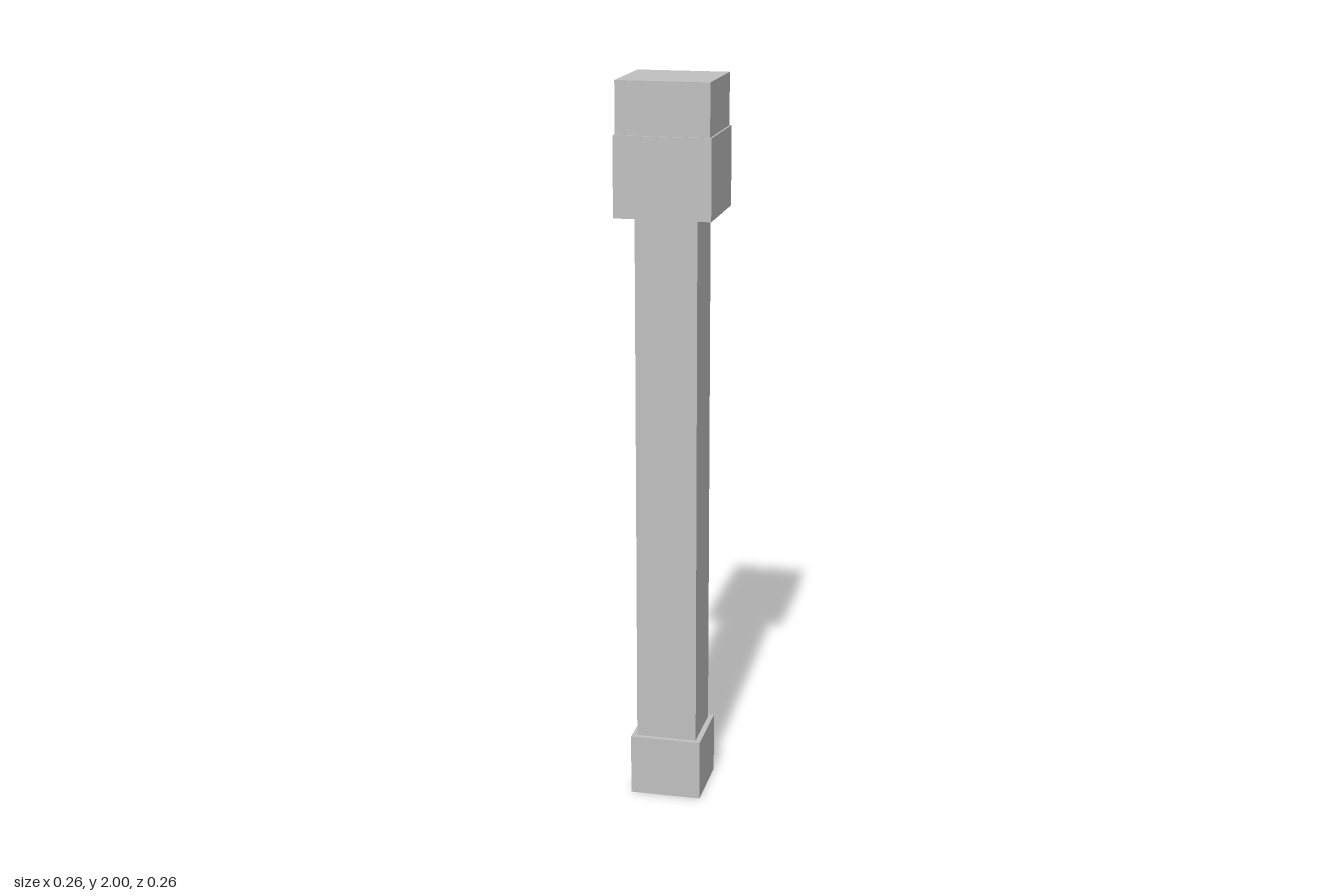
import * as THREE from 'three';

export function createModel() {
  const group = new THREE.Group();
  group.name = 'squareColumn';

  const stone = new THREE.MeshStandardMaterial({ color: 0xc0c0c0 });
  stone.name = 'grey stone';

  // Square block standing between two heights
  function block(name, width, bottom, top) {
    const mesh = new THREE.Mesh(new THREE.BoxGeometry(width, top - bottom, width), stone);
    mesh.name = name;
    mesh.position.y = (bottom + top) / 2;
    group.add(mesh);
  }

  block('base', 0.197, 0, 0.17);
  block('shaft', 0.168, 0.17, 1.645);
  block('capitalLower', 0.26, 1.645, 1.86);
  block('capitalUpper', 0.25, 1.86, 2);

  return group;
}
